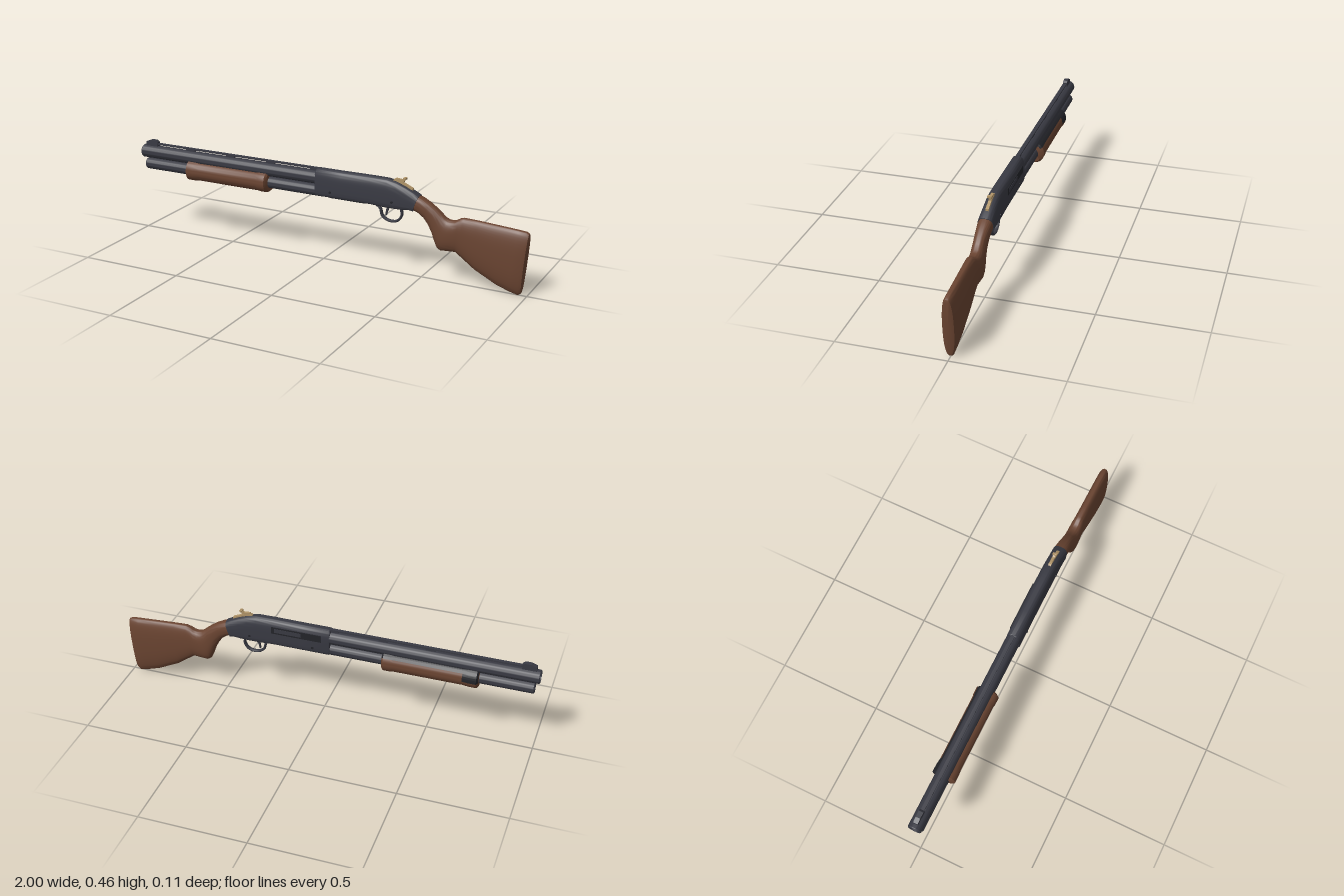
import * as THREE from 'three';
import { toCreasedNormals } from 'three/addons/utils/BufferGeometryUtils.js';

const material = (name, color) => {
  const m = new THREE.MeshStandardMaterial({ color });
  m.name = name;
  return m;
};

// Stations along x: [topX, topY, bottomX, bottomY, halfWidth].
// Sections are superellipses with separate exponents above and below the middle.
function loft(stations, nTop = 2, nBottom = 2, a0 = 0, a1 = Math.PI * 2) {
  const seg = 44, pos = [], idx = [];
  const row = seg + 1;
  for (const [tx, ty, bx, by, w] of stations) {
    for (let j = 0; j <= seg; j++) {
      const a = a0 + (a1 - a0) * j / seg;
      const c = Math.cos(a), s = Math.sin(a), e = 2 / (s > 0 ? nTop : nBottom);
      const v = Math.sign(s) * Math.abs(s) ** e;
      pos.push((tx + bx) / 2 + (tx - bx) / 2 * v, (ty + by) / 2 + (ty - by) / 2 * v,
        w * Math.sign(c) * Math.abs(c) ** e);
    }
  }
  const last = stations.length - 1;
  for (let i = 0; i < last; i++) {
    for (let j = 0; j < seg; j++) {
      const p = i * row + j, q = p + row;
      idx.push(p, q, p + 1, q, q + 1, p + 1);
    }
  }
  // End caps on full loops
  if (a1 - a0 > 6.28) {
    for (const i of [0, last]) {
      const [tx, ty, bx, by] = stations[i], centre = pos.length / 3;
      pos.push((tx + bx) / 2, (ty + by) / 2, 0);
      for (let j = 0; j < seg; j++) {
        const p = i * row + j;
        if (i === 0) idx.push(centre, p, p + 1);
        else idx.push(centre, p + 1, p);
      }
    }
  }
  const g = new THREE.BufferGeometry();
  g.setAttribute('position', new THREE.Float32BufferAttribute(pos, 3));
  g.setIndex(idx);
  return toCreasedNormals(g, 0.7);
}

// Hollow tube along x, open towards the muzzle
function pipe(x0, x1, r, bore) {
  const p = [[0, 0.1], [bore, 0.1], [bore, 0], [r - 0.003, 0], [r, 0.004], [r, x1 - x0], [0, x1 - x0]];
  const g = new THREE.LatheGeometry(p.map(([a, b]) => new THREE.Vector2(a, b)).reverse(), 32);
  g.rotateZ(-Math.PI / 2).translate(x0, 0, 0);
  // Keep the faces pointing outwards
  const index = g.index.array;
  const a = new THREE.Vector3(), n = new THREE.Vector3();
  let volume = 0;
  const pa = g.attributes.position;
  for (let i = 0; i < index.length; i += 3) {
    const [u, v, w] = [0, 1, 2].map(k => new THREE.Vector3().fromBufferAttribute(pa, index[i + k]));
    volume += a.copy(u).dot(n.crossVectors(v, w));
  }
  if (volume < 0) index.reverse();
  return toCreasedNormals(g, 0.6);
}

// Side outline extruded across z
function plate(points, width) {
  const s = new THREE.Shape(points.map(([x, y]) => new THREE.Vector2(x, y)));
  return new THREE.ExtrudeGeometry(s, { depth: width, bevelEnabled: false }).translate(0, 0, -width / 2);
}

export function createModel() {
  const steel = material('gunmetal', 0x393a43);
  const dark = material('dark steel', 0x232429);
  const wood = material('walnut', 0x6a4431);
  const brass = material('brass', 0xb09468);
  const group = new THREE.Group();
  const add = (name, geometry, mat, x = 0, y = 0, z = 0) => {
    const m = new THREE.Mesh(geometry, mat);
    m.name = name;
    m.position.set(x, y, z);
    group.add(m);
    return m;
  };
  const box = (name, w, h, d, mat, x, y, z) => add(name, new THREE.BoxGeometry(w, h, d), mat, x, y, z);

  // Barrel and magazine tube
  add('barrel', pipe(-1, 0, 0.032, 0.023), steel, 0, 0.4, 0);
  add('magazineTube', pipe(-0.98, 0, 0.028, 0.012), steel, 0, 0.338, 0);

  // Raised rib on posts, with the front sight
  box('rib', 0.96, 0.007, 0.016, steel, -0.5, 0.4425, 0);
  for (const x of [-0.95, -0.725, -0.5, -0.28, -0.045]) box('ribPost', 0.045, 0.016, 0.013, steel, x, 0.433, 0);
  add('frontSight', plate([[-0.98, 0.425], [-0.915, 0.425], [-0.915, 0.452], [-0.925, 0.46], [-0.955, 0.46], [-0.98, 0.45]], 0.022), steel);

  // Receiver
  add('receiver', loft([
    [-0.032, 0.442, -0.032, 0.32, 0.03], [-0.026, 0.447, -0.026, 0.316, 0.033],
    [0.1, 0.447, 0.1, 0.316, 0.033], [0.25, 0.448, 0.25, 0.316, 0.033],
    [0.33, 0.447, 0.32, 0.312, 0.033], [0.375, 0.438, 0.37, 0.312, 0.033],
    [0.42, 0.421, 0.41, 0.314, 0.033], [0.46, 0.402, 0.44, 0.318, 0.034],
    [0.485, 0.388, 0.46, 0.316, 0.035]], 2.8, 6), steel);

  // Ejection port on the right side, with the bolt inside
  box('ejectionPort', 0.24, 0.034, 0.006, dark, 0.13, 0.4, -0.0315);
  box('bolt', 0.13, 0.02, 0.007, steel, 0.17, 0.401, -0.0325);
  for (const side of [1, -1]) {
    for (const x of [0.05, 0.36]) {
      const pin = add('pin', new THREE.CylinderGeometry(0.006, 0.006, 0.006, 12), dark, x, 0.345, side * 0.0325);
      pin.rotation.x = Math.PI / 2;
    }
  }
  box('loadingGate', 0.18, 0.004, 0.036, dark, 0.13, 0.3155, 0);

  // Trigger guard and trigger
  const guardPath = new THREE.CatmullRomCurve3(
    [[0.265, 0.318], [0.29, 0.3], [0.302, 0.265], [0.335, 0.246], [0.375, 0.251], [0.397, 0.28], [0.392, 0.32]]
      .map(([x, y]) => new THREE.Vector3(x, y, 0)));
  add('triggerGuard', new THREE.TubeGeometry(guardPath, 40, 0.006, 8), steel).scale.z = 1.8;
  add('trigger', plate([[0.325, 0.318], [0.34, 0.318], [0.328, 0.29], [0.322, 0.268], [0.317, 0.268], [0.32, 0.29]], 0.01), steel);

  // Brass lever on the rear slope
  add('leverBase', plate([[0.345, 0.435], [0.36, 0.449], [0.4, 0.438], [0.45, 0.416], [0.45, 0.4], [0.4, 0.42]], 0.014), brass);
  add('leverSpur', plate([[0.385, 0.435], [0.405, 0.435], [0.407, 0.446], [0.416, 0.458], [0.41, 0.461], [0.396, 0.45], [0.366, 0.453], [0.362, 0.447]], 0.012), brass);
  box('leverTip', 0.012, 0.009, 0.02, brass, 0.41, 0.4555, 0);

  // Sliding fore-end with flared ends
  const grip = [[-0.732, 0.042, 0.008], [-0.725, 0.055, 0], [-0.69, 0.055, 0], [-0.66, 0.052, 0.003], [-0.34, 0.052, 0.002],
    [-0.325, 0.055, 0], [-0.292, 0.055, 0], [-0.284, 0.044, 0.006]];
  const gripStations = (list, grow) => list.map(([x, w, d]) =>
    [x, 0.392 - d + grow, x, 0.289 + d - grow, w + grow]);
  add('foreEnd', loft(gripStations(grip, 0), 2.2, 2.2), wood);
  add('foreEndCollar', loft(gripStations(grip.slice(0, 4), 0.0008), 2.2, 2.2, 1.7, 3.3), dark);
  add('foreEndTopStrip', loft(gripStations(grip, 0.0006), 2.2, 2.2, 1.7, 2.55), dark);

  // Stock with pistol grip
  add('stock', loft([
    [0.478, 0.388, 0.452, 0.319, 0.033], [0.5, 0.38, 0.48, 0.308, 0.033],
    [0.535, 0.362, 0.508, 0.288, 0.031], [0.565, 0.342, 0.53, 0.258, 0.03],
    [0.59, 0.322, 0.547, 0.225, 0.031], [0.61, 0.304, 0.562, 0.185, 0.033],
    [0.628, 0.297, 0.574, 0.158, 0.034], [0.645, 0.296, 0.59, 0.147, 0.034],
    [0.662, 0.3, 0.63, 0.149, 0.033], [0.678, 0.31, 0.662, 0.151, 0.031],
    [0.697, 0.316, 0.695, 0.127, 0.029], [0.76, 0.314, 0.755, 0.083, 0.029],
    [0.87, 0.307, 0.86, 0.03, 0.03], [0.95, 0.302, 0.92, 0.01, 0.03],
    [0.985, 0.299, 0.96, 0, 0.029], [0.997, 0.292, 0.974, 0.01, 0.025],
    [1, 0.28, 0.978, 0.025, 0.017]], 2.5, 2.4), wood);

  return group;
}
